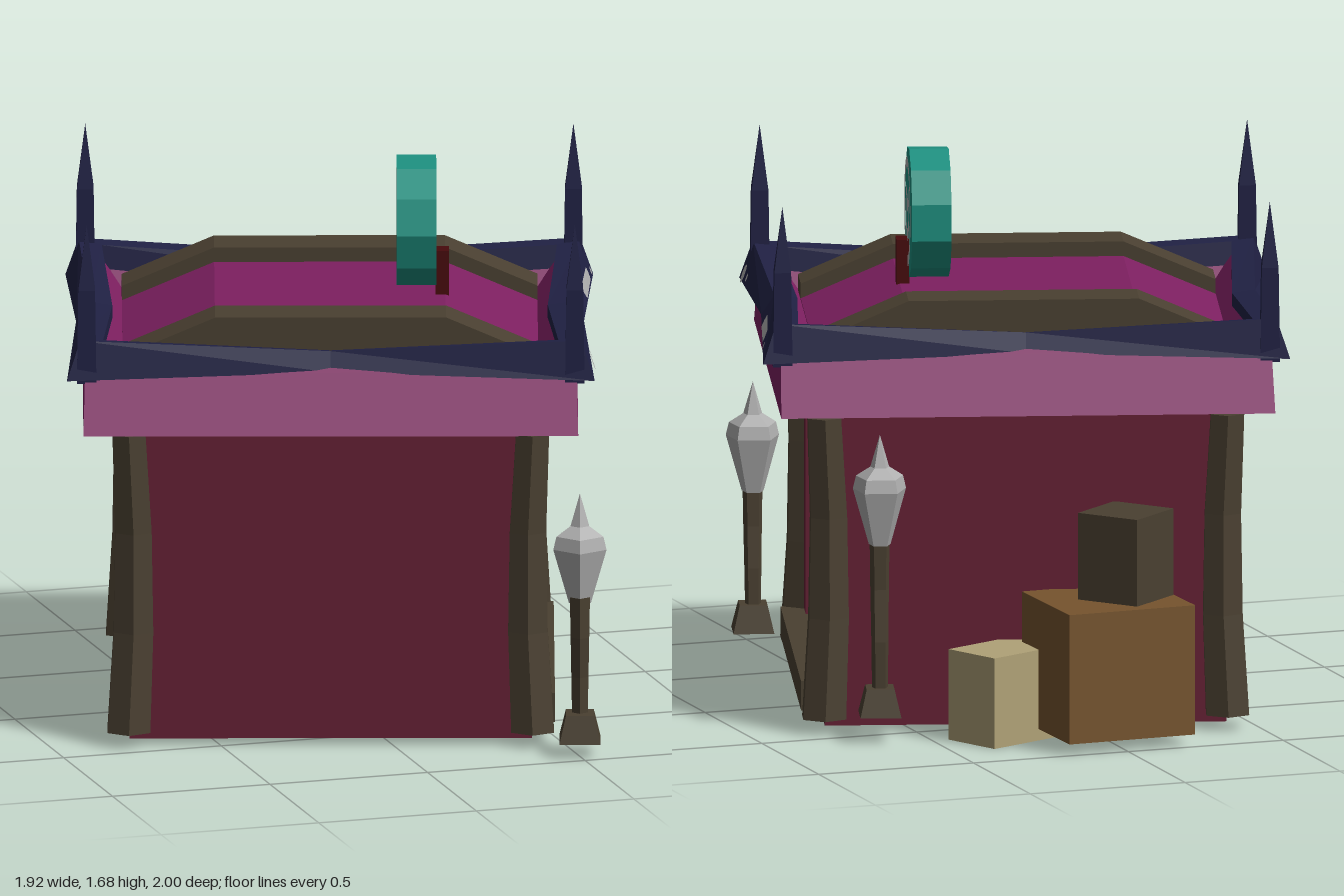
import * as THREE from 'three';

const mat = (name, color) => { const m = new THREE.MeshStandardMaterial({ color }); m.name = name; return m; };

export function createModel() {
  const M = {
    wall: mat('wall red', 0x652034), cloth: mat('magenta cloth', 0x7e2061), navy: mat('navy', 0x202144),
    wood: mat('dark wood', 0x4a4031), teal: mat('teal', 0x1e9080), grey: mat('light grey', 0xb0b0b0),
    chest: mat('dark red', 0x470a0c), gold: mat('golden wood', 0x76542e), cream: mat('cream wood', 0xb0a277),
    purple: mat('purple', 0x2a0794),
  };
  const root = new THREE.Group();
  root.name = 'marketStall';
  const stall = new THREE.Group();
  stall.name = 'stall';
  stall.rotation.y = -17 * Math.PI / 180; // counter side faces +x of this group
  root.add(stall);

  // Facets the geometry, then adds it as a named mesh
  const add = (name, geo, m, x = 0, y = 0, z = 0, parent = stall) => {
    const g = geo.index ? geo.toNonIndexed() : geo;
    g.computeVertexNormals();
    const mesh = new THREE.Mesh(g, m);
    mesh.name = name;
    mesh.position.set(x, y, z);
    parent.add(mesh);
    return mesh;
  };
  const box = (name, m, w, h, d, x, y, z, parent) => add(name, new THREE.BoxGeometry(w, h, d), m, x, y, z, parent);
  const lathe = (pts, n) => new THREE.LatheGeometry(pts.map(p => new THREE.Vector2(...p)), n);
  const extrude = (pts, depth) => new THREE.ExtrudeGeometry(new THREE.Shape(pts.map(p => new THREE.Vector2(...p))),
    { depth, bevelEnabled: false }).translate(0, 0, -depth / 2);

  // Rectangular ring swept from loops [halfX, halfZ, y, yMid]; pinch pulls the side middles inward
  const ring = (loops, pinch = 0) => {
    const dirs = [[1, 1], [0, 1], [-1, 1], [-1, 0], [-1, -1], [0, -1], [1, -1], [1, 0]];
    const pt = (i, j) => {
      const [sx, sz] = dirs[i % 8], [hx, hz, y, ym = y] = loops[j];
      const mid = sx * sz === 0, p = mid ? pinch : 0;
      return [sx * (hx - p), mid ? ym : y, sz * (hz - p)];
    };
    const v = [];
    for (let i = 0; i < 8; i++) for (let j = 0; j + 1 < loops.length; j++) {
      const a = pt(i, j), b = pt(i, j + 1), c = pt(i + 1, j + 1), d = pt(i + 1, j);
      v.push(...a, ...b, ...c, ...a, ...c, ...d);
    }
    const g = new THREE.BufferGeometry();
    g.setAttribute('position', new THREE.Float32BufferAttribute(v, 3));
    return g;
  };

  // Roof: flared eave with sunken tray, low raised top, two beams, wavy frame
  add('eave', ring([[0, 0, 1.0], [0.75, 0.755, 1.0], [0.745, 0.64, 1.17], [0.69, 0.6, 1.22], [0.63, 0.54, 1.14],
    [0, 0, 1.14]]), M.cloth);
  const hump = (y) => [[-0.63, 1.1], [0.63, 1.1], [0.63, y], [0.35, y + 0.12], [-0.35, y + 0.12], [-0.63, y]];
  add('roofTop', extrude(hump(1.145), 0.8), M.cloth);
  for (const s of [-1, 1]) add('roofBeam', extrude(hump(1.19), 0.15), M.wood, 0, 0, s * 0.435);
  add('roofFrame', ring([[0.69, 0.57, 1.15, 1.17], [0.8, 0.665, 1.15, 1.17], [0.76, 0.64, 1.27, 1.23],
    [0.69, 0.59, 1.26, 1.22], [0.69, 0.57, 1.15, 1.17]], 0.03), M.navy);

  // Pale marks following the front face of the frame
  const mark = (z, y, r, stretch = 0) => {
    const g = new THREE.CircleGeometry(r, 10), p = g.attributes.position;
    for (let i = 0; i < p.count; i++) {
      const zz = z - p.getX(i) - Math.sign(p.getX(i)) * stretch, yy = y + p.getY(i);
      const t = Math.abs(zz) / 0.665, yb = 1.17 - 0.02 * t, yt = 1.23 + 0.04 * t;
      p.setXYZ(i, 0.78 + 0.03 * t - 0.04 * (yy - yb) / (yt - yb), yy, zz);
    }
    add('frameMark', g, M.grey);
  };
  mark(0.55, 1.185, 0.028);
  mark(0.47, 1.188, 0.013);
  mark(-0.355, 1.2, 0.02, 0.11);
  mark(-0.555, 1.188, 0.013);

  // Corners: posts, finials, wall returns, brackets
  for (const sx of [-1, 1]) {
    for (const sz of [-1, 1]) {
      const post = new THREE.CylinderGeometry(0.058, 0.075, 0.93, 6, 3), p = post.attributes.position;
      for (let i = 0; i < p.count; i++) {
        const bend = 0.01 * Math.cos(p.getY(i) * 5);
        p.setX(i, p.getX(i) - sx * bend);
        p.setZ(i, p.getZ(i) - sz * bend);
      }
      add('cornerPost', post, M.wood, sx * 0.605, 0.51, sz * 0.6);
      add('finial', lathe([[0, 1.14], [0.042, 1.14], [0.036, 1.43], [0, 1.63]], 4).rotateY(Math.PI / 4),
        M.navy, sx * 0.74, 0, sz * 0.628);
      box('wallReturn', M.wall, 0.08, 0.98, 0.14, sx * 0.57, 0.51, sz * 0.52);
      add('bracket', extrude([[0, 0.78], [0.04, 0.87], [0.13, 0.92], [0.13, 1], [0, 1]], 0.06).rotateY(sz * Math.PI / 2),
        M.wall, sx * 0.57, 0, sz * 0.455);
    }
    box('header', M.wall, 0.06, 0.09, 1.0, sx * 0.57, 0.955, 0);
  }
  for (const s of [-1, 1]) box('sideWall', M.wall, 1.22, 0.98, 0.06, 0, 0.51, s * 0.58);
  add('postPatch', new THREE.CylinderGeometry(0.069, 0.069, 0.1, 1, 1, true, 0, Math.PI / 3), M.gold, 0.597, 0.53, -0.592);

  // Counter: open shell with a sloping top, raised straps and teal pads
  box('frontPlank', M.wood, 0.34, 0.09, 1.14, 0.51, 0.105, 0);
  const profile = [[0.06, 0.42], [0.34, 0.365], [0.355, 0.34], [0.355, 0.1]];
  const shell = new THREE.PlaneGeometry(0.95, 1, 1, profile.length - 1).rotateY(Math.PI / 2);
  const sp = shell.attributes.position;
  for (let i = 0; i < sp.count; i++) {
    const [x, y] = profile[Math.floor(i / 2)];
    sp.setXYZ(i, x, y, sp.getZ(i));
  }
  add('counterShell', shell, M.chest);
  for (const z of [-0.2, 0.155]) {
    add('counterStrap', extrude([[0.355, 0.1], [0.385, 0.1], [0.39, 0.35], [0.36, 0.395], [0.08, 0.45], [0.05, 0.42],
      [0.34, 0.365], [0.355, 0.34]], 0.07), M.chest, 0, 0, z);
  }
  for (const z of [-0.335, -0.02, 0.32]) box('counterPad', M.teal, 0.16, 0.009, 0.2, 0.215, 0.394, z).rotation.z = -0.195;

  // Hanging tunics
  const tunic = [[-0.08, -0.11], [0.08, -0.11], [0.06, 0], [0.075, 0.055], [0.03, 0.09], [0, 0.115], [-0.03, 0.09],
    [-0.075, 0.055], [-0.06, 0]];
  for (const [x, y, z, m] of [[-0.32, 0.55, -0.016, M.purple], [-0.31, 0.565, 0.323, M.navy],
    [-0.36, 0.76, 0.135, M.purple], [-0.36, 0.76, -0.1, M.navy]])
    add('hangingTunic', extrude(tunic, 0.06).rotateY(Math.PI / 2), m, x, y, z);

  // Pennants across the opening
  for (const [z, w, h, m] of [[0.25, 0.19, 0.23, M.grey], [0.1, 0.12, 0.13, M.wood], [-0.01, 0.12, 0.12, M.wood],
    [-0.11, 0.12, 0.12, M.wood], [-0.27, 0.17, 0.23, M.grey]])
    add('pennant', extrude([[-w / 2, 0], [0, -h], [w / 2, 0]], 0.02).rotateY(Math.PI / 2), m, 0.54, 0.91, z);

  // Tools racked on the inner side wall
  for (const y of [0.51, 0.605, 0.705]) {
    box('toolHandle', M.wood, 0.6, 0.028, 0.03, -0.25, y, 0.53);
    box('toolHead', M.wood, 0.06, 0.036, 0.04, 0.05, y, 0.525);
  }

  // Round roof sign
  add('signDisc', new THREE.CylinderGeometry(0.2, 0.2, 0.12, 11).rotateZ(Math.PI / 2), M.teal, 0.262, 1.485, 0);
  const face = (name, g) => add(name, g.rotateY(Math.PI / 2), M.grey, 0.326, 1.485, 0);
  face('signOuterRing', new THREE.RingGeometry(0.135, 0.168, 24));
  face('signInnerRing', new THREE.RingGeometry(0.055, 0.092, 18, 1, Math.PI * 0.65, Math.PI * 1.7));
  face('signDot', new THREE.CircleGeometry(0.03, 8).translate(0, 0.025, 0));
  box('signPost', M.chest, 0.04, 0.18, 0.065, 0.34, 1.31, 0.012);

  // Lanterns on bent poles
  const lantern = (x, y, z, pole) => {
    const g = new THREE.Group();
    g.name = 'lantern';
    g.position.set(x, y, z);
    stall.add(g);
    add('lanternBase', new THREE.CylinderGeometry(0.06, 0.088, 0.085, 4).rotateY(Math.PI / 4), M.wood, 0, 0.042, 0, g);
    const stick = new THREE.CylinderGeometry(0.032, 0.025, pole, 5, 3), p = stick.attributes.position;
    for (let i = 0; i < p.count; i++) p.setZ(i, p.getZ(i) + 0.012 * Math.sin(p.getY(i) * 11));
    add('lanternPole', stick, M.wood, 0, 0.07 + pole / 2, 0, g);
    add('lanternHead', lathe([[0, 0], [0.035, 0], [0.085, 0.17], [0.075, 0.21], [0.03, 0.24], [0, 0.34]], 5),
      M.grey, 0, pole + 0.05, 0, g);
  };
  lantern(0.755, 0.045, 0.73, 0.38);
  lantern(0.45, 0.08, -0.74, 0.475);

  // Crates beside the back wall
  box('largeCrate', M.gold, 0.41, 0.4, 0.39, -0.01, 0.235, -0.798, root).rotation.y = 0.03;
  box('topCrate', M.wood, 0.21, 0.27, 0.21, -0.065, 0.568, -0.8, root).rotation.y = 0.67;
  box('smallCrate', M.cream, 0.28, 0.28, 0.2, 0.28, 0.14, -0.675, root).rotation.y = 0.42;

  return root;
}
